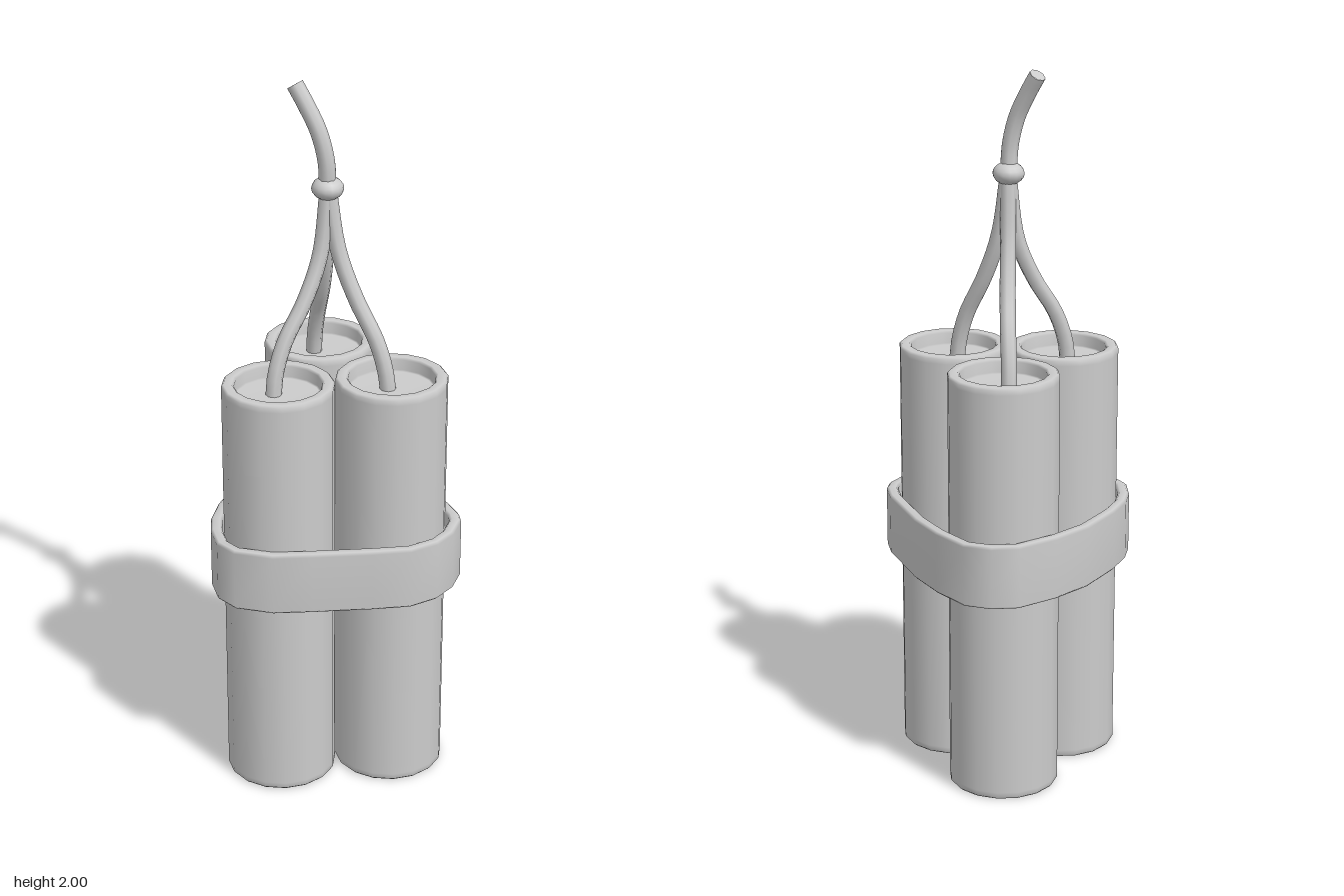
import * as THREE from 'three';

const material = new THREE.MeshStandardMaterial({ color: 0xcccccc });
const V = (x, y, z) => new THREE.Vector3(x, y, z);

function add(parent, name, geometry, x = 0, y = 0, z = 0) {
  const mesh = new THREE.Mesh(geometry, material);
  mesh.name = name;
  mesh.position.set(x, y, z);
  parent.add(mesh);
  return mesh;
}

// Stick with a recessed disc at both ends and softly rounded rims
function stickGeometry() {
  const R = 0.154, r = 0.12, H = 1.205, d = 0.04, b = 0.006;
  const half = [[0, d], [r - 0.004, d], [r, d - 0.004], [r, b], [r + b, 0], [R - b, 0], [R, b], [R, 0.02]];
  const profile = [...half, ...half.map(([x, y]) => [x, H - y]).reverse()];
  return new THREE.LatheGeometry(profile.map(([x, y]) => new THREE.Vector2(x, y)), 16);
}

// Round cord along a smooth curve, closed with a flat disc at its end
function addCord(parent, name, points, radius, capped) {
  const curve = new THREE.CatmullRomCurve3(points);
  const cord = add(parent, name, new THREE.TubeGeometry(curve, 18, radius, 8));
  if (capped) {
    const end = curve.getPoint(1);
    const cap = add(cord, name + 'End', new THREE.CircleGeometry(radius, 8), end.x, end.y, end.z);
    cap.quaternion.setFromUnitVectors(V(0, 0, 1), curve.getTangent(1));
  }
}

// Closed strap: a bevelled rectangular section carried round an outline
function strapGeometry(outline, y0, y1, thickness) {
  const b = 0.007, t = thickness;
  const section = [
    [0, y0 + b], [0, y1 - b], [-b, y1], [b - t, y1],
    [-t, y1 - b], [-t, y0 + b], [b - t, y0], [-b, y0],
  ];
  const n = outline.length, m = section.length;
  const position = [], index = [];
  outline.forEach(([x, z], i) => {
    const p = outline[(i + n - 1) % n], q = outline[(i + 1) % n];
    const normal = new THREE.Vector2(q[1] - p[1], p[0] - q[0]).normalize();
    section.forEach(([o, y], j) => {
      position.push(x + normal.x * o, y, z + normal.y * o);
      const a = i * m + j, up = i * m + (j + 1) % m;
      const c = ((i + 1) % n) * m + j, d = ((i + 1) % n) * m + (j + 1) % m;
      index.push(a, up, c, up, d, c);
    });
  });
  const geometry = new THREE.BufferGeometry();
  geometry.setAttribute('position', new THREE.Float32BufferAttribute(position, 3));
  geometry.setIndex(index);
  geometry.computeVertexNormals();
  return geometry;
}

export function createModel() {
  const model = new THREE.Group();
  model.name = 'stickBundle';

  // Three sticks
  const sticks = { rightStick: [-0.157, 0.15], leftStick: [0.153, 0.133], backStick: [-0.02, -0.138] };
  const stick = stickGeometry();
  for (const [name, [x, z]] of Object.entries(sticks)) add(model, name, stick, x, 0, z);

  // Strap around the sticks
  const outline = [
    [-0.01, -0.335], [0.07, -0.318], [0.157, -0.232], [0.23, -0.133], [0.327, 0.05],
    [0.348, 0.12], [0.348, 0.163], [0.317, 0.234], [0.268, 0.288], [0.19, 0.326],
    [0.085, 0.331], [-0.08, 0.331], [-0.19, 0.328], [-0.292, 0.29], [-0.335, 0.234],
    [-0.348, 0.155], [-0.344, 0.085], [-0.318, -0.005], [-0.257, -0.137],
    [-0.18, -0.234], [-0.085, -0.318],
  ];
  add(model, 'strap', strapGeometry(outline, 0.59, 0.77, 0.033));

  // One fuse per stick, gathered at the knot
  const fuses = {
    rightFuse: [V(-0.17, 1.14, 0.14), V(-0.163, 1.22, 0.133), V(-0.135, 1.31, 0.115), V(-0.08, 1.41, 0.085), V(-0.035, 1.53, 0.055)],
    leftFuse: [V(0.145, 1.14, 0.13), V(0.135, 1.22, 0.125), V(0.112, 1.3, 0.112), V(0.06, 1.41, 0.08), V(0.015, 1.54, 0.053)],
    backFuse: [V(-0.035, 1.14, -0.145), V(-0.034, 1.22, -0.13), V(-0.028, 1.3, -0.1), V(-0.02, 1.4, -0.04), V(-0.015, 1.53, 0.013)],
  };
  for (const [name, points] of Object.entries(fuses)) {
    addCord(model, name, [...points, V(-0.012, 1.72, 0.04)], 0.022, false);
  }

  // Knot and free end of the fuse
  const knot = add(model, 'knot', new THREE.SphereGeometry(0.044, 14, 10), -0.013, 1.715, 0.04);
  knot.scale.y = 0.72;
  addCord(model, 'fuseTip', [
    V(-0.013, 1.7, 0.04), V(-0.017, 1.79, 0.044), V(-0.036, 1.87, 0.038),
    V(-0.068, 1.94, 0.02), V(-0.095, 1.99, 0.002),
  ], 0.023, true);

  return model;
}
